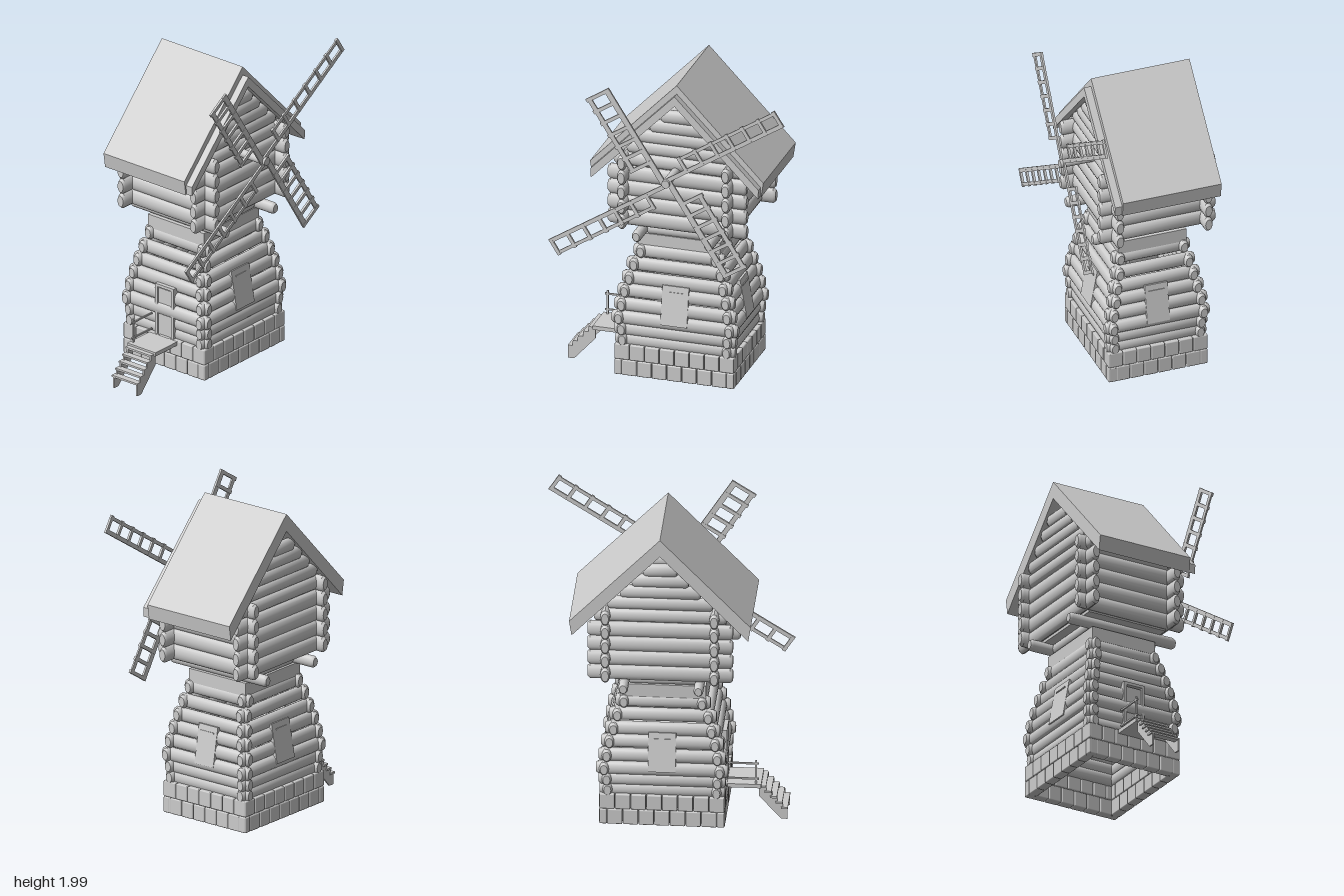
import * as THREE from 'three';
import { toCreasedNormals } from 'three/addons/utils/BufferGeometryUtils.js';
import { RoundedBoxGeometry } from 'three/addons/geometries/RoundedBoxGeometry.js';

const mat = new THREE.MeshStandardMaterial({ color: 0xcccccc, side: THREE.DoubleSide });
const CX = -0.01, CZ = -0.06; // centre of the tower

function add(parent, name, geo, x = 0, y = 0, z = 0) {
  const m = new THREE.Mesh(geo, mat);
  m.name = name;
  m.position.set(x, y, z);
  parent.add(m);
  return m;
}

function part(parent, name) {
  const g = new THREE.Group();
  g.name = name;
  parent.add(g);
  return g;
}

const box = (p, name, w, h, d, x, y, z) => add(p, name, new THREE.BoxGeometry(w, h, d), x, y, z);

// Oval log with bevelled ends, lying along 'x' or 'z'
function log(p, name, axis, length, ry, rw, x, y, z) {
  const h = length / 2;
  const profile = [[0, -h], [0.72, -h], [1, -h + 0.016], [1, h - 0.016], [0.72, h], [0, h]];
  let geo = new THREE.LatheGeometry(profile.map(([r, t]) => new THREE.Vector2(r, t)), 16);
  if (axis === 'x') geo.rotateZ(Math.PI / 2).scale(1, ry, rw);
  else geo.rotateX(Math.PI / 2).scale(rw, ry, 1);
  geo = toCreasedNormals(geo, 0.6);
  return add(p, name, geo, x, y, z);
}

// Polygon in the x-y plane, extruded from z0 to z1
function slab(p, name, pts, z0, z1) {
  const shape = new THREE.Shape(pts.map(([x, y]) => new THREE.Vector2(x, y)));
  const geo = new THREE.ExtrudeGeometry(shape, { depth: z1 - z0, bevelEnabled: false });
  return add(p, name, geo, 0, 0, z0);
}

function stoneBase(root) {
  const g = part(root, 'stoneBase');
  const hx = 0.38, hz = 0.32, t = 0.06;
  const course = (half, count, row, place) => {
    const w = (2 * half) / count;
    const edges = [-half];
    for (let i = row ? 1 : 0.5; i < count; i++) edges.push(-half + i * w);
    edges.push(half);
    for (let i = 0; i + 1 < edges.length; i++) {
      place(edges[i + 1] - edges[i] - 0.003, (edges[i] + edges[i + 1]) / 2);
    }
  };
  for (const row of [0, 1]) {
    const y = 0.087 + row * 0.102;
    for (const s of [-1, 1]) {
      course(hx, 8, row, (w, c) => add(g, 'stone', new RoundedBoxGeometry(w, 0.1, t, 1, 0.007),
        CX + c, y, CZ + s * (hz - t / 2)));
      course(hz - 0.005, 7, row, (w, c) => add(g, 'stone', new RoundedBoxGeometry(t, 0.1, w, 1, 0.007),
        CX + s * (hx - t / 2), y, CZ + c));
    }
  }
}

function tower(root) {
  const g = part(root, 'tower');
  const ys = [0.265, 0.335, 0.41, 0.495, 0.58, 0.66, 0.745, 0.83];
  const hxs = [0.33, 0.335, 0.35, 0.335, 0.32, 0.297, 0.275, 0.237];
  const hzs = [0.275, 0.28, 0.29, 0.28, 0.262, 0.245, 0.222, 0.205];
  ys.forEach((y, i) => {
    for (const s of [-1, 1]) {
      log(g, 'towerLog', 'x', 2 * hxs[i] + 0.1, 0.043, 0.03, CX, y, CZ + s * hzs[i]);
      log(g, 'towerLog', 'z', 2 * hzs[i] + 0.09, 0.043, 0.03, CX + s * hxs[i], y, CZ);
    }
  });
  box(g, 'towerCap', 0.52, 0.085, 0.44, CX, 0.903, -0.065);

  // Shutters lean with the walls
  for (const [name, turn, w, d] of [['front', 0, 0.168, 0.293], ['back', Math.PI, 0.168, 0.293],
    ['left', Math.PI / 2, 0.145, 0.35]]) {
    const side = part(g, name + 'Window');
    side.position.set(CX, 0.525, CZ);
    side.rotation.y = turn;
    const pane = part(side, 'shutter');
    pane.position.z = d;
    pane.rotation.x = -0.18;
    box(pane, 'board', w, 0.25, 0.025, 0, 0, 0);
    box(pane, 'handle', 0.1, 0.008, 0.008, 0, 0.083, 0.014);
  }
}

function entrance(root) {
  const g = part(root, 'entrance');
  // Door and frame
  box(g, 'door', 0.04, 0.31, 0.11, -0.355, 0.39, CZ);
  for (const s of [-1, 1]) box(g, 'doorJamb', 0.07, 0.33, 0.018, -0.35, 0.4, CZ + s * 0.063);
  box(g, 'doorLintel', 0.07, 0.018, 0.144, -0.35, 0.563, CZ);

  // Landing with a rail on one side
  box(g, 'landing', 0.22, 0.025, 0.22, -0.485, 0.223, -0.065);
  box(g, 'railPost', 0.01, 0.16, 0.01, -0.563, 0.31, -0.155);
  for (const y of [0.265, 0.368]) box(g, 'rail', 0.19, 0.01, 0.01, -0.485, y, -0.155);

  // Stairs
  const stringer = [[-0.58, 0.15], [-0.58, 0.215], [-0.625, 0.215], [-0.625, 0.18], [-0.66, 0.18], [-0.66, 0.145],
    [-0.692, 0.145], [-0.692, 0.11], [-0.725, 0.11], [-0.725, 0.075], [-0.753, 0.075], [-0.753, 0], [-0.715, 0]];
  for (const z of [-0.15, 0.03]) slab(g, 'stringer', stringer, z - 0.005, z + 0.005);
  for (let i = 0; i < 5; i++) {
    box(g, 'tread', 0.042, 0.012, 0.2, -0.603 - i * 0.0328, 0.217 - i * 0.035, -0.065);
  }
}

function cabin(root) {
  const g = part(root, 'cabin');
  // Carrying beams and floor
  for (const s of [-1, 1]) {
    log(g, 'carryingBeam', 'z', 0.745, 0.037, 0.03, -0.007 + s * 0.228, 0.982, -0.0625);
    log(g, 'crossBeam', 'x', 0.42, 0.036, 0.03, -0.007, 0.98, CZ + s * 0.2);
  }
  box(g, 'floor', 0.64, 0.02, 0.54, 0, 1.02, -0.07);

  // Log walls
  for (let i = 0; i < 5; i++) {
    const y = 1.067 + i * 0.097;
    for (const s of [-1, 1]) {
      log(g, 'sideLog', 'z', 0.745, 0.05, 0.03, s * 0.33, y, -0.0625);
      if (i < 4) log(g, 'endLog', 'x', 0.88, 0.05, 0.03, 0, y, -0.075 + s * 0.285);
    }
  }
  // Gable logs shorten towards the ridge
  for (const y of [1.455, 1.54, 1.617, 1.692, 1.764]) {
    for (const s of [-1, 1]) {
      log(g, 'gableLog', 'x', 2 * (1.87 - y) / 1.036, 0.043, 0.03, 0, y, -0.075 + s * 0.285);
    }
  }
}

function roof(root) {
  const g = part(root, 'roof');
  slab(g, 'roofShell', [[0, 1.985], [-0.55, 1.415], [-0.535, 1.32], [0, 1.875], [0.535, 1.32], [0.55, 1.415]], -0.4, 0.235);
  slab(g, 'frontTrim', [[0, 1.93], [-0.533, 1.385], [-0.53, 1.325], [0, 1.865], [0.53, 1.325], [0.533, 1.385]], 0.235, 0.28);
}

function sails(root) {
  const g = part(root, 'sails');
  g.position.set(-0.008, 1.415, 0);
  const axle = add(g, 'axle', new THREE.CylinderGeometry(0.026, 0.026, 0.25, 16), 0, 0, 0.31);
  axle.rotation.x = Math.PI / 2;
  // One pair is long and narrow, the other short and wide
  for (let i = 0; i < 4; i++) {
    const [len, wide] = i % 2 ? [0.685, 0.172] : [0.885, 0.115];
    const sail = part(g, 'sail');
    sail.position.z = 0.412;
    sail.rotation.z = THREE.MathUtils.degToRad(32.4) + i * Math.PI / 2;
    const bar = i % 2 ? 0.036 : 0.026;
    box(sail, 'spar', len, bar, 0.012, len / 2, bar / 2, 0);
    box(sail, 'outerRail', len - 0.15, bar * 0.8, 0.01, (len + 0.15) / 2, wide - bar * 0.6, 0);
    for (let k = 0; k < 7; k++) {
      const x = 0.16 + k * (len - 0.172) / 6;
      box(sail, 'rung', 0.022, wide, 0.014, x, wide / 2, 0);
    }
  }
}

export function createModel() {
  const root = new THREE.Group();
  root.name = 'logWindmill';
  for (const build of [stoneBase, tower, entrance, cabin, roof, sails]) build(root);
  return root;
}
